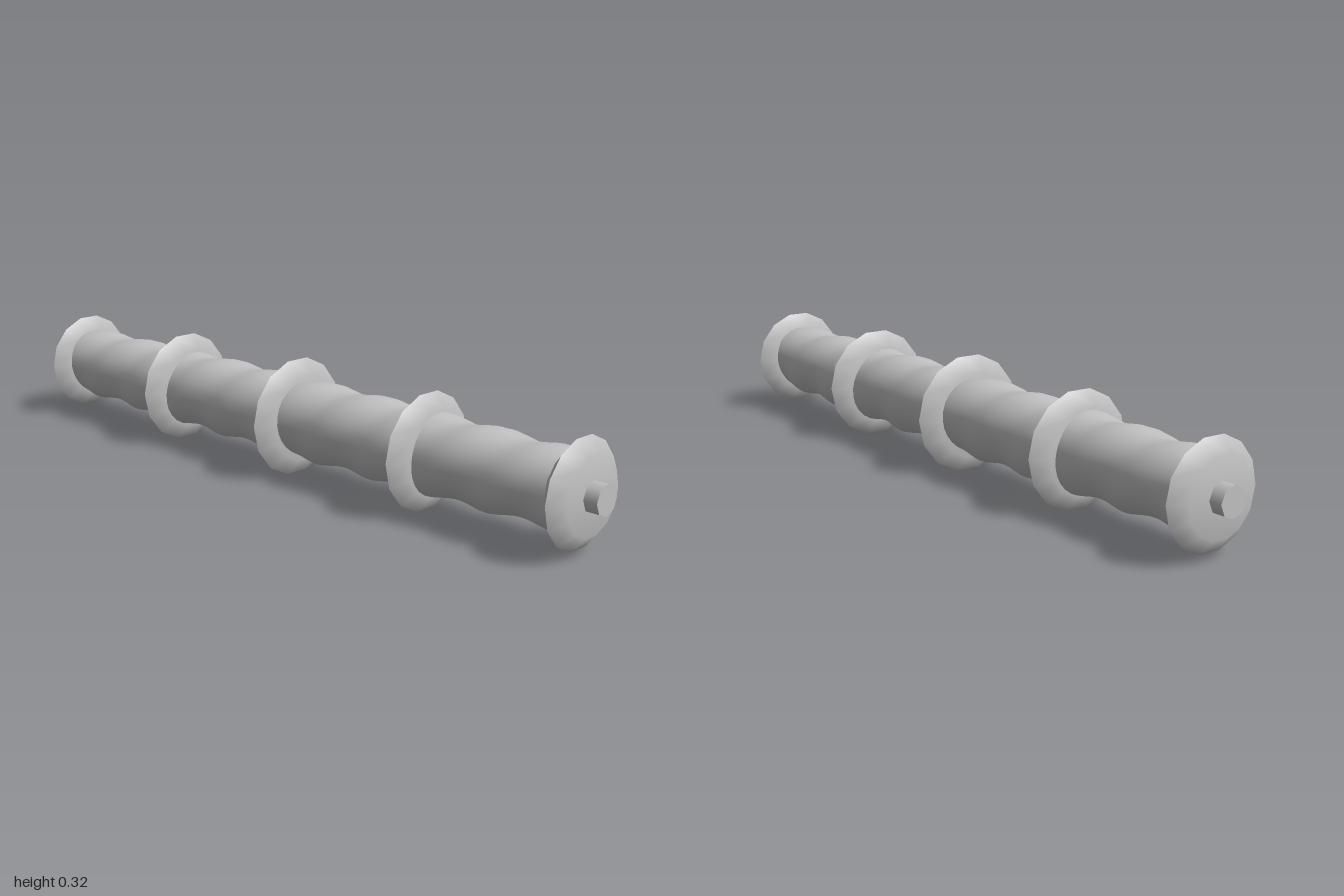
import * as THREE from 'three';
import { mergeVertices } from 'three/addons/utils/BufferGeometryUtils.js';

const AXIS_Y = 0.159;
const STEP = 0.465; // distance between collars

// Twisted two-strand shaft, slightly swollen in the middle
function shaftGeometry() {
  let g = new THREE.CylinderGeometry(1, 1, 1.86, 28, 140, true);
  g.rotateX(Math.PI / 2);
  g.deleteAttribute('uv');
  g.deleteAttribute('normal');
  g = mergeVertices(g);
  const p = g.attributes.position;
  for (let i = 0; i < p.count; i++) {
    const z = p.getZ(i);
    const a = Math.atan2(p.getY(i), p.getX(i));
    const r = 0.105 - 0.011 * z * z + 0.006 * Math.cos(2 * a + 33 * z);
    p.setXY(i, r * Math.cos(a), r * Math.sin(a));
  }
  g.computeVertexNormals();
  return g;
}

// One half of a collar: flat face, then a bevel out to a sharp rim
function collarHalf(rim, face, depth) {
  const pts = [[0, -depth], [face, -depth], [rim, 0]].map(([x, y]) => new THREE.Vector2(x, y));
  const g = new THREE.LatheGeometry(pts, 14, Math.PI / 2);
  g.rotateX(Math.PI / 2);
  return g;
}

export function createModel() {
  const model = new THREE.Group();
  model.name = 'twistedRod';
  const grey = new THREE.MeshStandardMaterial({ name: 'light grey', color: 0xc0c0c0 });

  const add = (parent, name, geometry) => {
    const mesh = new THREE.Mesh(geometry, grey);
    mesh.name = name;
    parent.add(mesh);
    return mesh;
  };

  const rod = new THREE.Group();
  rod.name = 'rod';
  rod.position.y = AXIS_Y;
  model.add(rod);

  add(rod, 'twistedShaft', shaftGeometry());

  // Five collars, smaller towards the ends
  const rims = [0.162, 0.156, 0.14];
  const faces = [0.118, 0.114, 0.1];
  for (let i = -2; i <= 2; i++) {
    const k = Math.abs(i);
    const collar = new THREE.Group();
    collar.name = 'collar';
    collar.position.z = i * STEP;
    const half = collarHalf(rims[k], faces[k], 0.033);
    add(collar, 'collarBack', half);
    add(collar, 'collarFront', half).rotation.y = Math.PI;
    rod.add(collar);
  }

  // Octagonal end pins
  for (const s of [1, -1]) {
    const pin = new THREE.CylinderGeometry(0.04, 0.04, 0.06, 8);
    pin.rotateX(Math.PI / 2);
    add(rod, s > 0 ? 'frontPin' : 'backPin', pin).position.z = s * 0.97;
  }
  return model;
}
